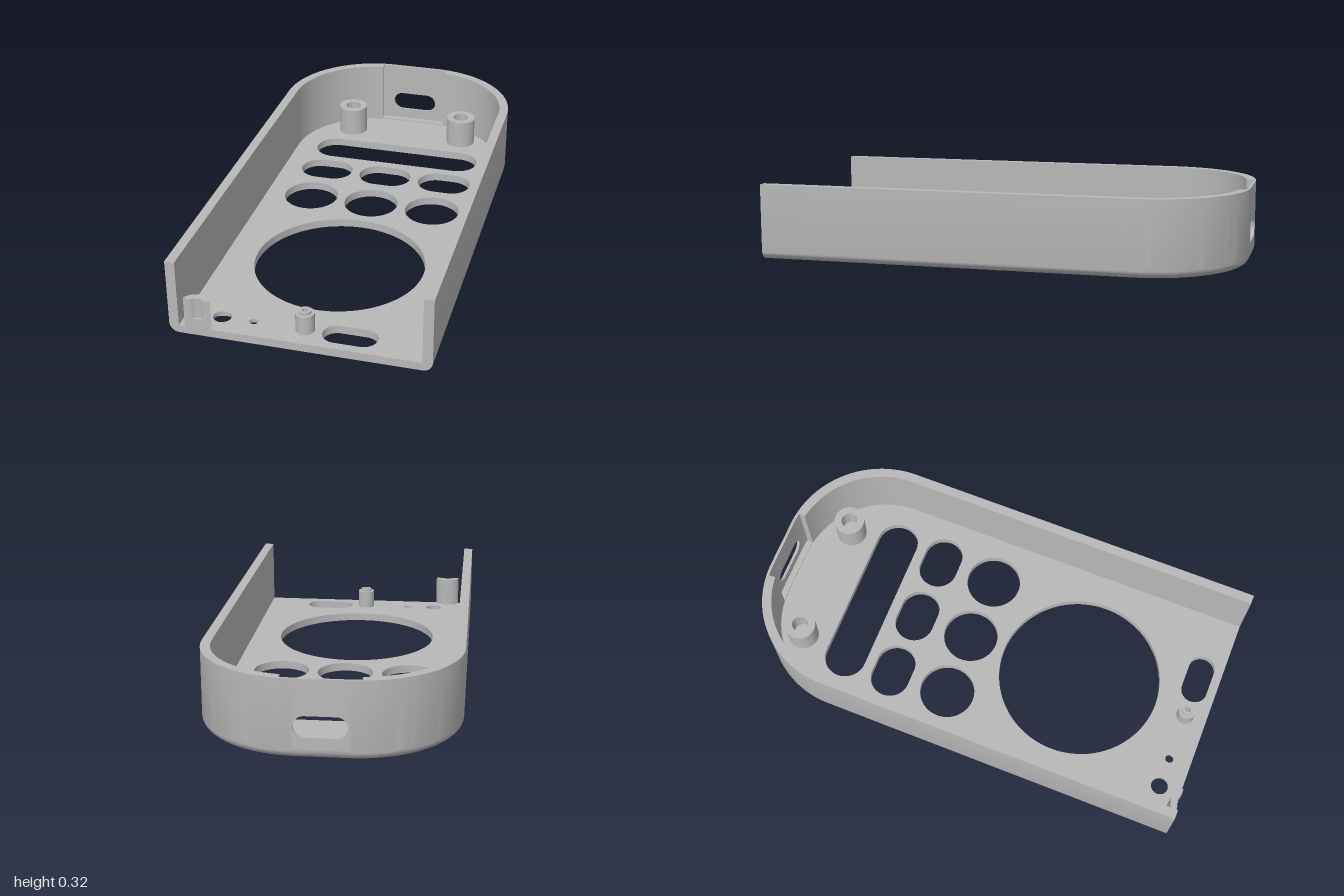
import * as THREE from 'three';
import { toCreasedNormals } from 'three/addons/utils/BufferGeometryUtils.js';

const W = 0.525, R = 0.42, FLAT = W - R, ZC = -1 + R;   // outline: half width, corner radius
const WALL = 0.04, THIN = 0.012, H = 0.32, FILLET = 0.04, FLOOR = 0.035;

export function createModel() {
  const grey = new THREE.MeshStandardMaterial({ color: 0xb8b8b8 });
  grey.name = 'grey plastic';
  const model = new THREE.Group();
  model.name = 'caseShell';

  const add = (name, geometry) => {
    const mesh = new THREE.Mesh(toCreasedNormals(geometry, 0.5), grey);
    mesh.name = name;
    model.add(mesh);
    return mesh;
  };

  // Plan shapes use (x, -z) and are extruded upward from y0 to y1
  const slab = (shape, y0, y1) =>
    new THREE.ExtrudeGeometry(shape, { depth: y1 - y0, bevelEnabled: false, curveSegments: 28 })
      .rotateX(-Math.PI / 2).translate(0, y0, 0);

  // Capsule outline (a circle when halfLength equals r)
  const capsule = (x, y, halfLength, r) => {
    const p = new THREE.Path(), s = halfLength - r;
    p.absarc(x + s, y, r, -Math.PI / 2, Math.PI / 2, false);
    p.absarc(x - s, y, r, Math.PI / 2, Math.PI * 1.5, false);
    p.closePath();
    return p;
  };

  // Floor outline with a round-cornered back
  const floorShape = inset => {
    const s = new THREE.Shape(), w = W - inset, r = R - inset;
    s.moveTo(-w, -1);
    s.lineTo(w, -1);
    s.absarc(FLAT, -ZC, r, 0, Math.PI / 2, false);
    s.absarc(-FLAT, -ZC, r, Math.PI / 2, Math.PI, false);
    s.closePath();
    return s;
  };

  // Openings shared by both floor layers
  const openings = () => {
    const list = [
      capsule(0, 0.593, 0.39, 0.0925),
      capsule(0, -0.41, 0.357, 0.357),
      capsule(0.18, -0.905, 0.11, 0.057),
      capsule(0, -0.905, 0.012, 0.012),
    ];
    for (const x of [-0.28, 0, 0.28]) {
      list.push(capsule(x, 0.37, 0.12, 0.086), capsule(x, 0.11, 0.12, 0.12));
    }
    return list;
  };

  // Lower floor layer has a pill-shaped recess, the upper one two small holes
  const lower = floorShape(FILLET);
  lower.holes.push(...openings(), capsule(-0.275, -0.905, 0.125, 0.055));
  add('floorLower', slab(lower, 0, 0.018));
  const upper = floorShape(0.03);
  upper.holes.push(...openings(), capsule(-0.34, -0.905, 0.037, 0.037), capsule(-0.21, -0.905, 0.018, 0.018));
  add('floorUpper', slab(upper, 0.018, FLOOR));

  // Wall cross-section as [inset, y]: rounded bottom edge, then the upright
  const wallProfile = (t, h) => {
    const pts = [];
    for (let i = 0; i <= 8; i++) {
      const a = (i / 8) * Math.PI / 2;
      pts.push([FILLET * (1 - Math.sin(a)), FILLET * (1 - Math.cos(a))]);
    }
    if (h > FILLET) pts.push([0, h], [t, h]);
    if (t < WALL) {
      if (h > FILLET) pts.push([t, FILLET]);
      pts.push([WALL, FILLET]);
    }
    return pts;
  };

  // Sweep a cross-section along path stations { x, z, nx, nz }, with end caps
  const sweep = (path, profile) => {
    const pos = [], idx = [], n = profile.length;
    for (const s of path) {
      for (const [d, y] of profile) pos.push(s.x - s.nx * d, y, s.z - s.nz * d);
    }
    for (let i = 0; i < path.length - 1; i++) {
      for (let j = 0; j < n; j++) {
        const k = (j + 1) % n, a = i * n, b = a + n;
        idx.push(a + j, b + j, b + k, a + j, b + k, a + k);
      }
    }
    const caps = THREE.ShapeUtils.triangulateShape(profile.map(([d, y]) => new THREE.Vector2(-d, y)), []);
    const end = (path.length - 1) * n;
    for (const [a, b, c] of caps) idx.push(a, b, c, end + a, end + c, end + b);
    const g = new THREE.BufferGeometry();
    g.setAttribute('position', new THREE.Float32BufferAttribute(pos, 3));
    g.setIndex(idx);
    return g;
  };

  const arc = (cx, a0, a1, steps) => Array.from({ length: steps + 1 }, (_, i) => {
    const a = a0 + (a1 - a0) * i / steps, nx = Math.cos(a), nz = -Math.sin(a);
    return { x: cx + R * nx, z: ZC + R * nz, nx, nz };
  });

  // Thick side walls, thin recessed strips, and the sill under the back panel
  const step = Math.acos((0.16 - FLAT) / R), q = Math.PI / 2;
  const thick = wallProfile(WALL, H), thin = wallProfile(THIN, H);
  add('leftWall', sweep([{ x: W, z: 1, nx: 1, nz: 0 }, ...arc(FLAT, 0, step, 28)], thick));
  add('leftRecessWall', sweep(arc(FLAT, step, q, 4), thin));
  add('backSill', sweep([FLAT, -FLAT].map(x => ({ x, z: -1, nx: 0, nz: -1 })), wallProfile(THIN, FILLET)));
  add('rightRecessWall', sweep(arc(-FLAT, q, Math.PI - step, 4), thin));
  add('rightWall', sweep([...arc(-FLAT, Math.PI - step, Math.PI, 28), { x: -W, z: 1, nx: -1, nz: 0 }], thick));

  // Thin back panel with the cable slot
  const panel = new THREE.Shape();
  panel.moveTo(-FLAT, FILLET);
  panel.lineTo(FLAT, FILLET);
  panel.lineTo(FLAT, H);
  panel.lineTo(-FLAT, H);
  panel.closePath();
  panel.holes.push(capsule(0, 0.131, 0.104, 0.043));
  add('backPanel', new THREE.ExtrudeGeometry(panel, { depth: THIN, bevelEnabled: false, curveSegments: 20 })
    .translate(0, 0, -1));

  // Turned parts with a blind or through hole
  const turned = (name, x, z, points) => {
    const g = new THREE.LatheGeometry(points.map(([r, y]) => new THREE.Vector2(r, y)), 40);
    add(name, g).position.set(x, 0, z);
  };
  for (const s of [1, -1]) {
    turned(s > 0 ? 'leftScrewBoss' : 'rightScrewBoss', s * 0.27, -0.81,
      [[0.067, 0.03], [0.067, 0.165], [0.035, 0.165], [0.035, 0.075], [0, 0.075]]);
  }
  turned('frontPost', 0, 0.905,
    [[0.038, 0.03], [0.038, 0.115], [0.025, 0.115], [0.025, 0.126], [0.012, 0.126], [0.012, 0.03]]);

  // Corner boss, cut off flush with the open front
  const cutBoss = holeRadius => {
    const s = new THREE.Shape(), cx = -0.405, cy = -1.022, rise = 0.022;
    const a = Math.asin(rise / 0.0594);
    s.absarc(cx, cy, 0.0594, a, Math.PI - a, false);
    if (holeRadius) {
      const b = Math.asin(rise / holeRadius);
      s.absarc(cx, cy, holeRadius, Math.PI - b, b, true);
    }
    s.closePath();
    return s;
  };
  add('cornerBossBase', slab(cutBoss(0), 0.03, 0.075));
  add('cornerBossTop', slab(cutBoss(0.032), 0.075, 0.165));

  return model;
}
